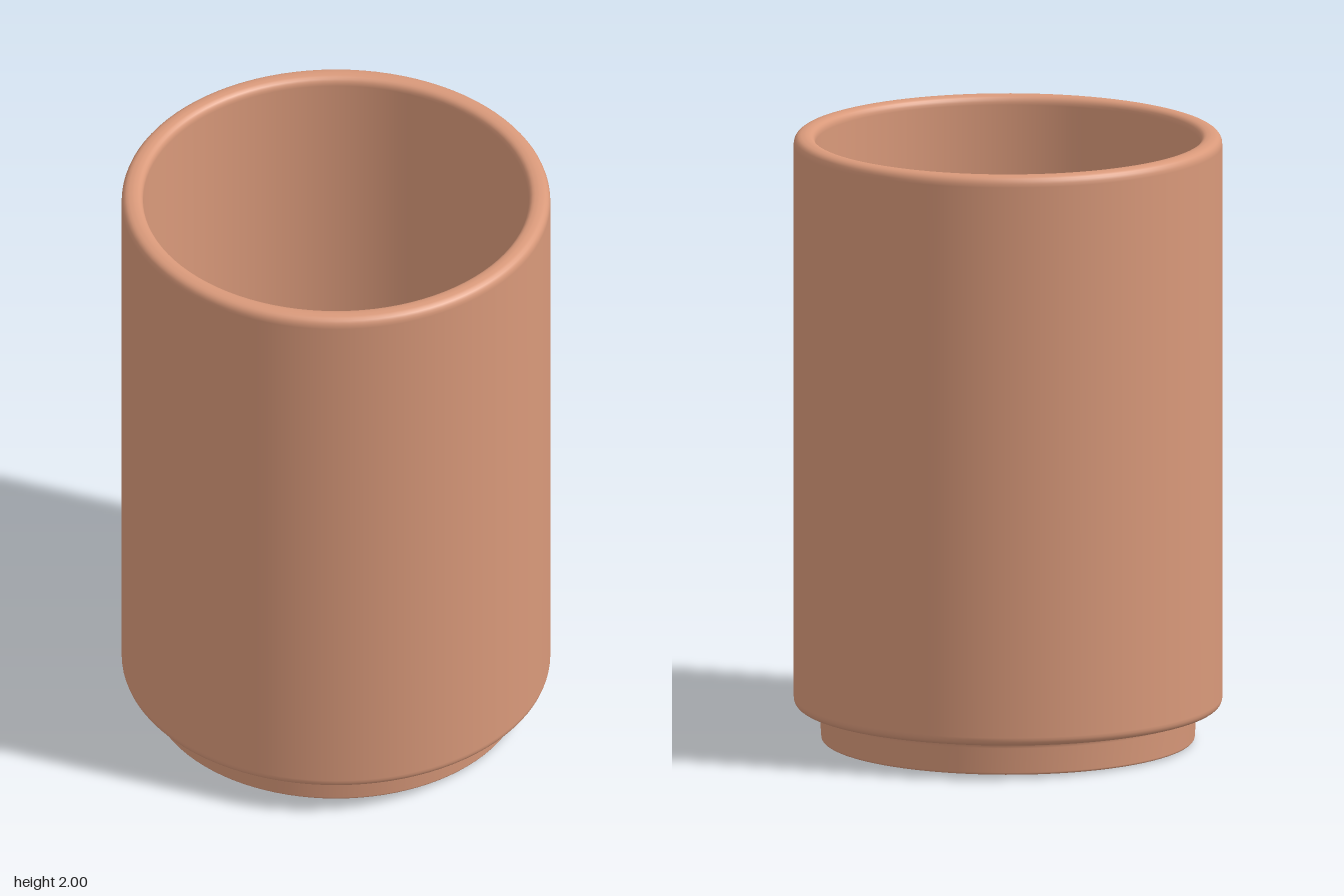
import * as THREE from 'three';

// Turns corners [radius, height, rounding] into a smooth lathe profile.
function roundedProfile(corners, steps = 6) {
  const points = [];
  corners.forEach(([x, y, r], i) => {
    const p = new THREE.Vector2(x, y);
    if (!r) return points.push(p);
    const toward = ([nx, ny]) => new THREE.Vector2(nx, ny).sub(p).setLength(r).add(p);
    const curve = new THREE.QuadraticBezierCurve(toward(corners[i - 1]), p, toward(corners[i + 1]));
    points.push(...curve.getPoints(steps));
  });
  return points;
}

export function createModel() {
  const group = new THREE.Group();
  group.name = 'cup';
  const clay = new THREE.MeshStandardMaterial({ color: 0xd9997a });

  // One closed wall: underside, foot, outer wall, rim, inner wall, floor
  const profile = roundedProfile([
    [0, 0, 0],
    [0.605, 0.004, 0.008], // foot edge
    [0.612, 0.115, 0.022], // hollow where the foot meets the body
    [0.695, 0.115, 0.03],  // lower shoulder
    [0.695, 2, 0.035],     // outer rim
    [0.625, 2, 0.03],      // inner rim
    [0.622, 0.15, 0.03],   // inner floor corner
    [0, 0.15, 0],
  ]);
  const body = new THREE.Mesh(new THREE.LatheGeometry(profile, 96), clay);
  body.name = 'cupBody';
  group.add(body);
  return group;
}
